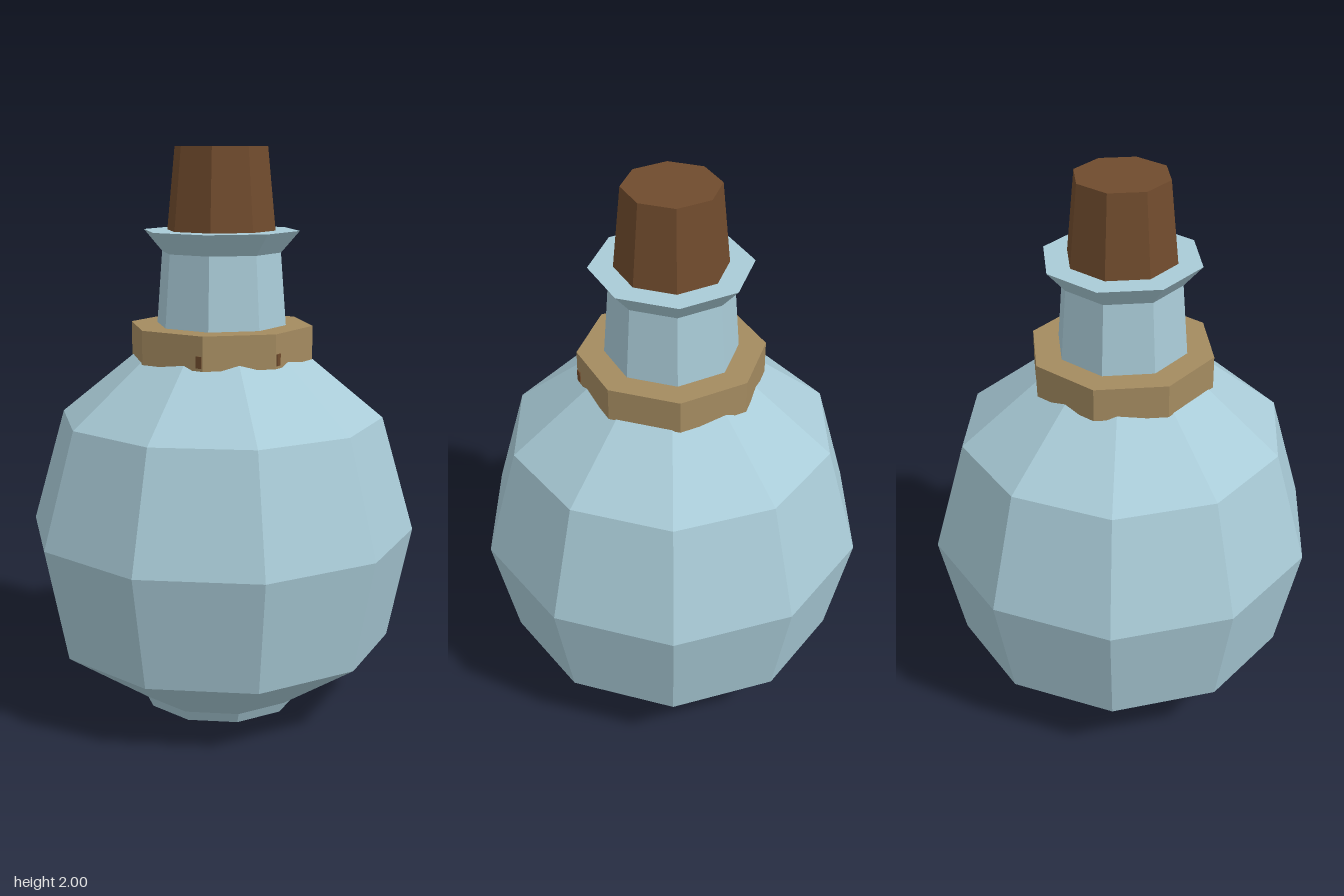
import * as THREE from 'three';

export function createModel() {
  const mat = (name, color) => {
    const m = new THREE.MeshStandardMaterial({ color, flatShading: true });
    m.name = name;
    return m;
  };
  const glass = mat('pale blue glass', 0xa9cbd7);
  const rope = mat('tan collar', 0xa48b60);
  const cork = mat('brown cork', 0x704b2d);

  const group = new THREE.Group();
  group.name = 'flask';

  const add = (name, geometry, material) => {
    const mesh = new THREE.Mesh(geometry, material);
    mesh.name = name;
    group.add(mesh);
    return mesh;
  };
  // Turned shape from [radius, height] pairs, bottom to top
  const turned = (profile, sides) =>
    new THREE.LatheGeometry(profile.map(([r, y]) => new THREE.Vector2(r, y)), sides);
  // Octagonal shape with flat sides facing the axes; radii measured to the flats
  const octagon = (profile) =>
    turned(profile.map(([r, y]) => [r / Math.cos(Math.PI / 8), y]), 8).rotateY(Math.PI / 8);

  // Ten-sided bulb with a small foot
  add('body', turned([
    [0, 0], [0.285, 0], [0.305, 0.04], [0.61, 0.25],
    [0.692, 0.655], [0.575, 1.062], [0.21, 1.36], [0, 1.36],
  ], 10), glass);

  // Neck flaring out to the lip
  add('neck', octagon([
    [0.217, 1.32], [0.213, 1.39], [0.195, 1.64], [0.255, 1.715], [0, 1.715],
  ]), glass);

  // Band around the base of the neck
  add('collar', octagon([[0.15, 1.27], [0.3, 1.27], [0.3, 1.388], [0.15, 1.388]]), rope);

  // Tapered stopper
  add('stopper', octagon([[0, 1.7], [0.178, 1.7], [0.177, 1.715], [0.151, 2], [0, 2]]), cork);

  // Small knots beside the two front corners of the collar
  for (const side of [-1, 1]) {
    const knot = add('collarKnot', new THREE.BoxGeometry(0.022, 0.04, 0.006), cork);
    knot.position.set(side * 0.136, 1.3, 0.289);
    knot.rotation.y = side * Math.PI / 4;
  }

  return group;
}
